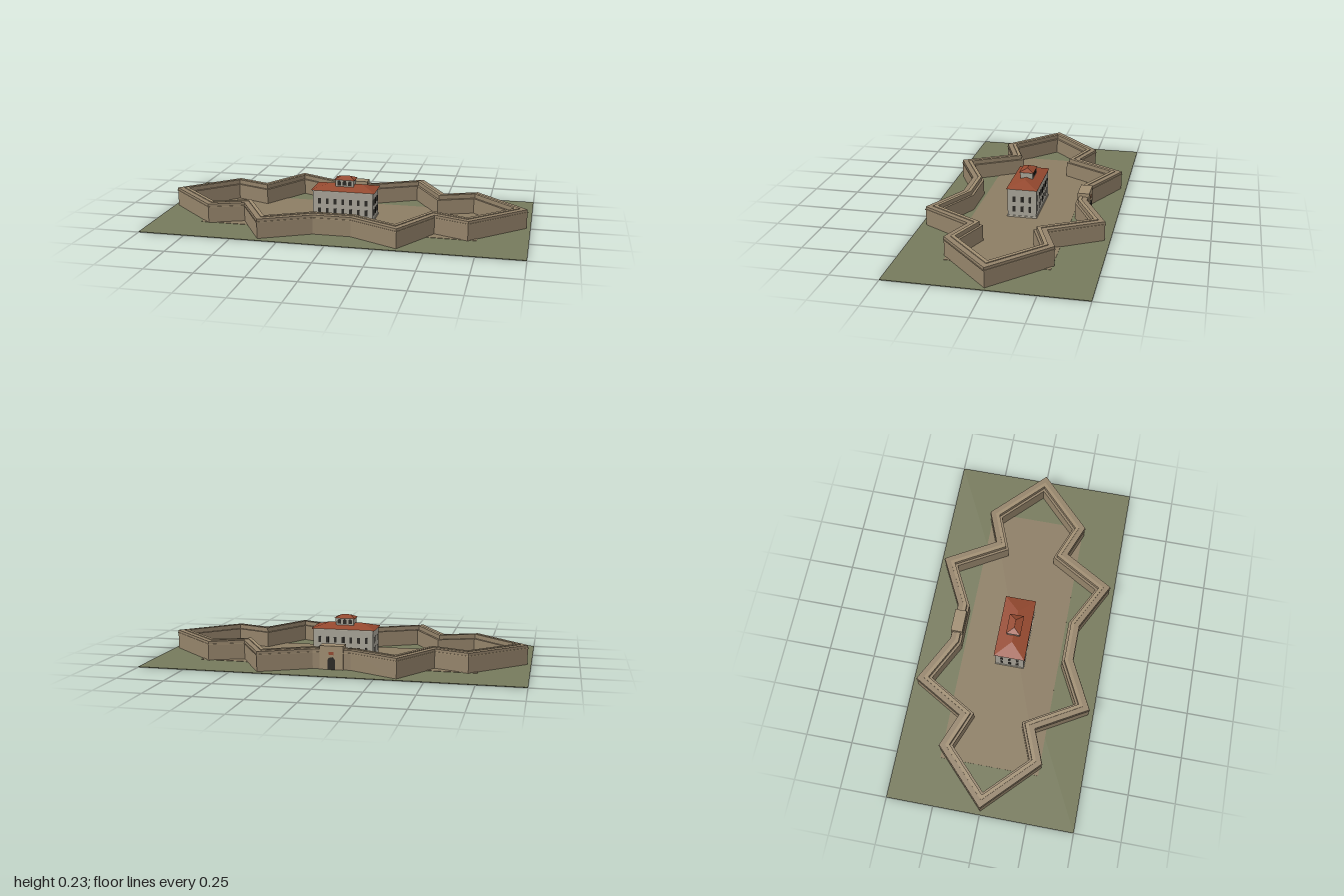
import * as THREE from 'three';

const mat = (color) => new THREE.MeshStandardMaterial({ color, flatShading: true });
const stone = mat(0x94836a), coping = mat(0xa08e72), grass = mat(0x767a5c), earth = mat(0x8c7d64);
const plaster = mat(0xa8a498), trim = mat(0xb8b2a2), tile = mat(0x95492f), dark = mat(0x2b2824);

// Star-shaped trace of the rampart: one quadrant, mirrored into a closed loop
const quarter = [[0.98, 0], [0.695, 0.275], [0.515, 0.205], [0.36, 0.472], [0.1, 0.34]];
const trace = [
  ...quarter,
  ...quarter.slice(1).reverse().map(([x, z]) => [-x, z]),
  ...quarter.map(([x, z]) => [-x, -z]),
  ...quarter.slice(1).reverse().map(([x, z]) => [x, -z]),
].map(([x, z]) => new THREE.Vector2(x, z))
  .filter((p, i, all) => i === 0 || p.distanceTo(all[i - 1]) > 1e-6);

// Moves the trace inward by d with mitred corners
function inset(d) {
  const n = trace.length;
  return trace.map((p, i) => {
    const a = p.clone().sub(trace[(i + n - 1) % n]).normalize();
    const b = trace[(i + 1) % n].clone().sub(p).normalize();
    const na = new THREE.Vector2(-a.y, a.x), nb = new THREE.Vector2(-b.y, b.x);
    return p.clone().addScaledVector(na.clone().add(nb), d / (1 + na.dot(nb)));
  });
}

function add(parent, name, geometry, material, x = 0, y = 0, z = 0) {
  const mesh = new THREE.Mesh(geometry, material);
  mesh.name = name;
  mesh.position.set(x, y, z);
  parent.add(mesh);
  return mesh;
}

// Box given by its bottom and top heights
function block(parent, name, w, d, y0, y1, material, x = 0, z = 0) {
  return add(parent, name, new THREE.BoxGeometry(w, y1 - y0, d), material, x, (y0 + y1) / 2, z);
}

// Wall following the trace between two inset distances
function ring(parent, name, outer, inner, y0, y1, material) {
  const shape = new THREE.Shape(inset(outer));
  shape.holes.push(new THREE.Path(inset(inner)));
  const geo = new THREE.ExtrudeGeometry(shape, { depth: y1 - y0, bevelEnabled: false });
  geo.rotateX(-Math.PI / 2);
  return add(parent, name, geo, material, 0, y0, 0);
}

// Hipped roof: a box whose top is drawn in to a ridge
function hipRoof(parent, name, w, d, ridge, y0, y1) {
  const geo = new THREE.BoxGeometry(w, y1 - y0, d).toNonIndexed();
  const p = geo.attributes.position;
  for (let i = 0; i < p.count; i++) {
    if (p.getY(i) > 0) p.setXYZ(i, Math.sign(p.getX(i)) * ridge / 2, p.getY(i), p.getZ(i) * 0.002);
  }
  geo.computeVertexNormals();
  return add(parent, name, geo, tile, 0, (y0 + y1) / 2, 0);
}

// Thin round-headed opening panel, standing on its own base line
function archGeometry(w, h, depth) {
  const r = w / 2, s = new THREE.Shape();
  s.moveTo(-r, 0);
  s.lineTo(r, 0);
  s.lineTo(r, h - r);
  s.absarc(0, h - r, r, 0, Math.PI, false);
  s.lineTo(-r, 0);
  return new THREE.ExtrudeGeometry(s, { depth, bevelEnabled: false, curveSegments: 8 });
}

function createModel() {
  const model = new THREE.Group();
  model.name = 'starFort';

  // Ground
  block(model, 'grassGround', 2, 1, 0, 0.003, grass);
  block(model, 'courtyard', 1.48, 0.53, 0.003, 0.005, earth);

  // Rampart: parapet, walkway behind it, cordon course and raised coping
  const rampart = new THREE.Group();
  rampart.name = 'rampart';
  model.add(rampart);
  ring(rampart, 'parapetWall', 0, 0.047, 0.003, 0.107, stone);
  ring(rampart, 'wallWalk', 0.047, 0.06, 0.003, 0.088, stone);
  ring(rampart, 'cordon', -0.003, 0.001, 0.088, 0.093, coping);
  ring(rampart, 'coping', 0.028, 0.047, 0.107, 0.111, coping);

  // Gatehouse in the rear curtain wall
  const gate = new THREE.Group();
  gate.name = 'gatehouse';
  model.add(gate);
  block(gate, 'gateBlock', 0.125, 0.063, 0.003, 0.127, coping, 0, -0.3145);
  for (const [z, turn] of [[-0.346, Math.PI], [-0.283, 0]]) {
    add(gate, 'gateDoor', archGeometry(0.04, 0.065, 0.002), dark, 0, 0.003, z).rotation.y = turn;
  }
  block(gate, 'gatePlaque', 0.025, 0.003, 0.08, 0.096, tile, 0, -0.347);

  // Central building
  const house = new THREE.Group();
  house.name = 'centralBuilding';
  model.add(house);
  block(house, 'buildingWalls', 0.33, 0.156, 0.005, 0.165, plaster);
  block(house, 'plinth', 0.336, 0.162, 0.005, 0.013, trim);
  block(house, 'cornice', 0.34, 0.164, 0.16, 0.165, trim);
  hipRoof(house, 'mainRoof', 0.35, 0.168, 0.18, 0.165, 0.191);

  // Two rows of windows on every side
  for (const y of [0.035, 0.09]) {
    for (const s of [-1, 1]) {
      for (let i = -3; i <= 3; i++) {
        block(house, 'window', 0.015, 0.002, y, y + 0.032, dark, i * 0.043, s * 0.0785);
      }
      for (let i = -1; i <= 1; i++) {
        block(house, 'sideWindow', 0.002, 0.015, y, y + 0.032, dark, s * 0.1655, i * 0.043);
      }
    }
  }

  // Lantern with arched openings
  const lantern = new THREE.Group();
  lantern.name = 'lantern';
  model.add(lantern);
  block(lantern, 'lanternWalls', 0.1, 0.068, 0.17, 0.218, plaster);
  hipRoof(lantern, 'lanternRoof', 0.114, 0.078, 0.045, 0.218, 0.235);
  const arch = archGeometry(0.02, 0.026, 0.001);
  for (const s of [-1, 1]) {
    const turn = s > 0 ? 0 : Math.PI;
    for (let i = -1; i <= 1; i++) {
      add(lantern, 'lanternArch', arch, dark, i * 0.03, 0.187, s * 0.034).rotation.y = turn;
    }
  }
  return model;
}

export { createModel };
